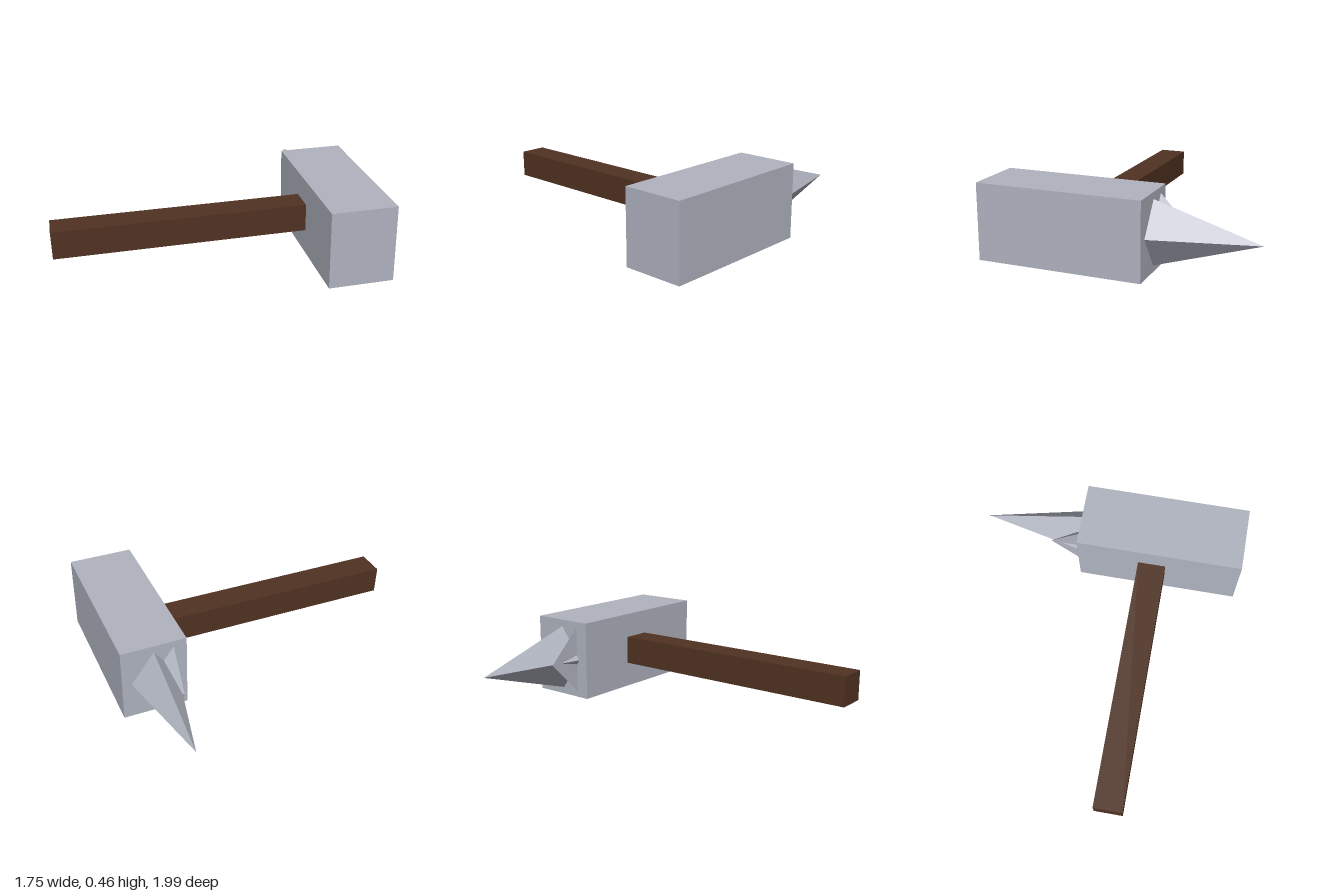
import * as THREE from 'three';

const steel = new THREE.MeshStandardMaterial({ color: 0xb0b4c0 });
steel.name = 'steel';
const wood = new THREE.MeshStandardMaterial({ color: 0x503221 });
wood.name = 'wood';

function box(name, size, position, material) {
  const mesh = new THREE.Mesh(new THREE.BoxGeometry(...size), material);
  mesh.name = name;
  mesh.position.set(...position);
  return mesh;
}

// Pyramid from a counter-clockwise base outline (x, y) at z = 0 to an apex.
function spike(name, base, apex, position) {
  const points = [];
  base.forEach(([x, y], i) => {
    const [nx, ny] = base[(i + 1) % base.length];
    points.push(x, y, 0, nx, ny, 0, ...apex); // side
    if (i > 0 && i < base.length - 1) {
      points.push(base[0][0], base[0][1], 0, nx, ny, 0, x, y, 0); // base cap
    }
  });
  const geometry = new THREE.BufferGeometry();
  geometry.setAttribute('position', new THREE.Float32BufferAttribute(points, 3));
  geometry.computeVertexNormals(); // unshared corners give flat facets
  const mesh = new THREE.Mesh(geometry, steel);
  mesh.name = name;
  mesh.position.set(...position);
  return mesh;
}

export function createModel() {
  const model = new THREE.Group();
  model.name = 'hammer';

  // Local frame: handle runs along +x, spikes point along +z.
  const hammer = new THREE.Group();
  hammer.name = 'hammerBody';
  hammer.rotation.y = -Math.PI * 0.75;
  model.add(hammer);

  const headX = -0.426;
  const headEnd = 0.373;
  const midY = 0.23;

  hammer.add(box('head', [0.385, 0.46, 0.99], [headX, midY, headEnd - 0.495], steel));
  hammer.add(box('handle', [1.48, 0.166, 0.167], [0.503, 0.232, -0.083], wood));

  // Long diamond spike and the short three-sided barb beside it
  const end = [headX, midY, headEnd];
  hammer.add(spike('mainSpike', [[0.136, 0], [0, 0.19], [-0.136, 0], [0, -0.19]], [0, 0, 0.61], end));
  hammer.add(spike('sideBarb', [[0.116, 0.195], [-0.025, 0], [0.116, -0.195]], [0.104, 0, 0.19], end));

  return model;
}
